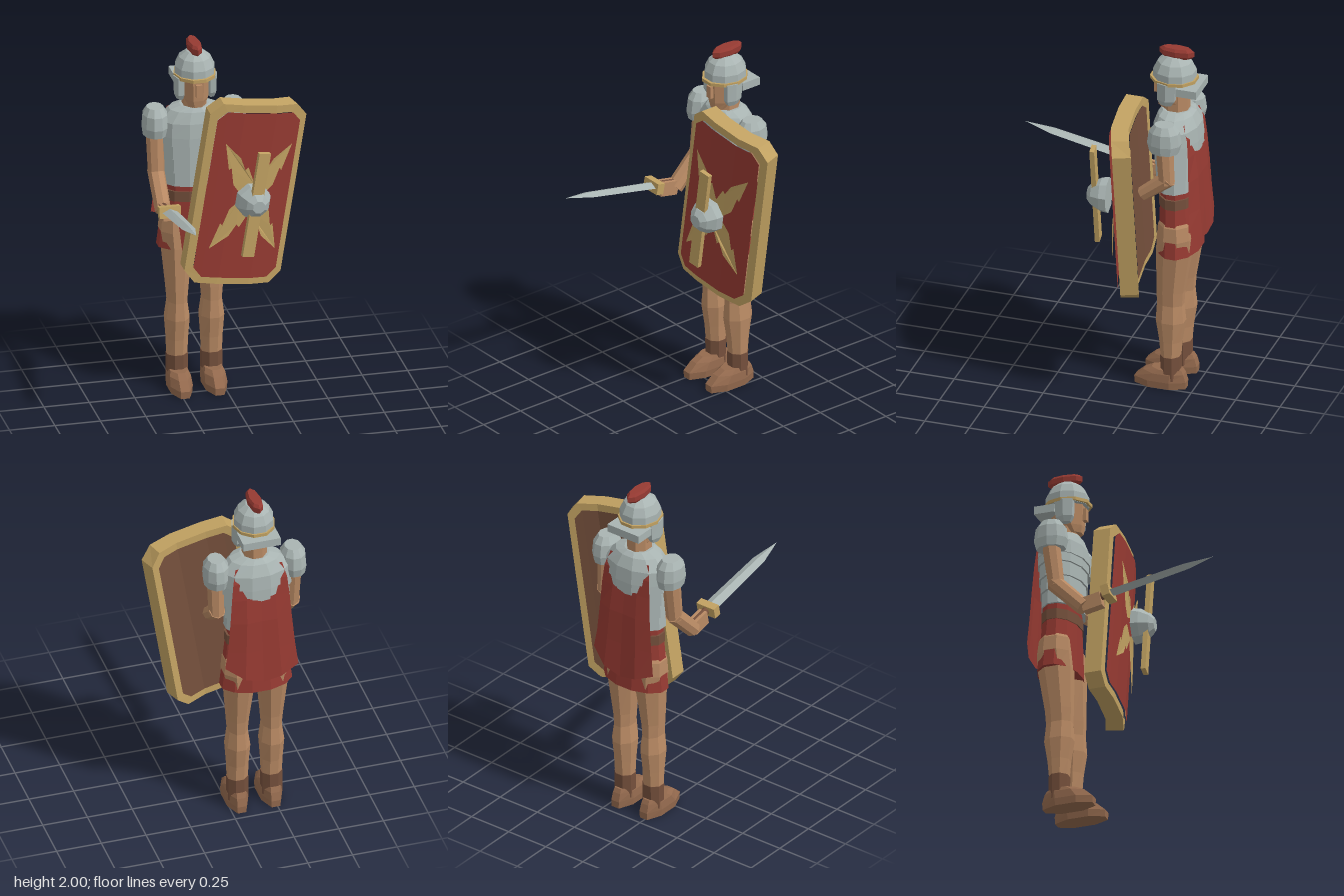
import * as THREE from 'three';

const mat = (name, hex) => Object.assign(new THREE.MeshStandardMaterial({ color: hex }), { name });
const CX = -0.145; // body centre line

export function createModel() {
  const skin = mat('skin', 0xb98a64), steel = mat('steel', 0xa9b4b2), gold = mat('brass', 0xc2a262);
  const red = mat('red cloth', 0x963a32), dark = mat('dark leather', 0x75503c), leather = mat('leather', 0x946a4e);
  red.side = THREE.DoubleSide;
  const model = new THREE.Group();

  // faceted mesh helper
  function add(name, geo, material, parent = model) {
    const g = geo.index ? geo.toNonIndexed() : geo;
    g.computeVertexNormals();
    const m = new THREE.Mesh(g, material);
    m.name = name;
    parent.add(m);
    return m;
  }
  function fromTris(tris) {
    const g = new THREE.BufferGeometry();
    g.setAttribute('position', new THREE.Float32BufferAttribute(tris.flat(), 3));
    return g;
  }
  const quad = (t, a, b, c, d) => t.push(a, b, c, a, c, d);

  // closed body through elliptic rows [y, rx, rz, cx, cz]
  function loft(rows, n = 8, turn = 0.5) {
    const t = [];
    const pt = ([y, rx, rz, cx = 0, cz = 0], i) => {
      const a = ((i + turn) / n) * Math.PI * 2;
      return [cx + rx * Math.sin(a), y, cz + rz * Math.cos(a)];
    };
    const mid = ([y, , , cx = 0, cz = 0]) => [cx, y, cz];
    for (let i = 0; i < n; i++) {
      for (let k = 0; k + 1 < rows.length; k++)
        quad(t, pt(rows[k], i), pt(rows[k], i + 1), pt(rows[k + 1], i + 1), pt(rows[k + 1], i));
      const lo = rows[0], hi = rows[rows.length - 1];
      t.push(mid(lo), pt(lo, i + 1), pt(lo, i), mid(hi), pt(hi, i), pt(hi, i + 1));
    }
    return fromTris(t);
  }
  function limb(name, p, q, r0, r1, material) {
    const a = new THREE.Vector3(...p), b = new THREE.Vector3(...q);
    const m = add(name, new THREE.CylinderGeometry(r1, r0, a.distanceTo(b), 8), material);
    m.position.copy(a).lerp(b, 0.5);
    m.quaternion.setFromUnitVectors(new THREE.Vector3(0, 1, 0), b.sub(a).normalize());
    return m;
  }
  function box(name, w, h, d, x, y, z, material, parent) {
    const m = add(name, new THREE.BoxGeometry(w, h, d), material, parent);
    m.position.set(x, y, z);
    return m;
  }

  // legs, boots and shoulder guards, mirrored about the centre line
  for (const s of [-1, 1]) {
    const x = CX + s * 0.095;
    add('leg', loft([
      [0.16, 0.057, 0.053, x, -0.37], [0.28, 0.061, 0.064, x, -0.37], [0.4, 0.069, 0.084, x, -0.37],
      [0.5, 0.055, 0.076, x, -0.368], [0.58, 0.062, 0.08, x, -0.37], [0.82, 0.086, 0.101, x - s * 0.002, -0.389],
      [0.91, 0.097, 0.099, x, -0.393], [0.99, 0.09, 0.09, x, -0.391], [1.05, 0.055, 0.06, x, -0.39]]), skin);
    add('bootCuff', loft([[0.05, 0.06, 0.056, x, -0.37], [0.19, 0.061, 0.058, x, -0.37]]), dark);
    add('shoe', loft([[0, 0.062, 0.154, x, -0.315], [0.04, 0.066, 0.156, x, -0.315],
      [0.085, 0.062, 0.122, x, -0.333], [0.108, 0.052, 0.09, x, -0.35]]), leather);
    const sx = CX + s * 0.215;
    add('shoulderGuard', loft([[1.48, 0.066, 0.082, sx, -0.372], [1.53, 0.073, 0.095, sx, -0.372],
      [1.6, 0.068, 0.085, sx, -0.372], [1.64, 0.045, 0.055, sx, -0.372]], 10), steel);
  }

  // skirt, tunic and belt
  add('skirt', loft([[0.815, 0.202, 0.116, CX, -0.397], [0.95, 0.186, 0.108, CX, -0.392],
    [1.1, 0.168, 0.1, CX, -0.388]], 12), red);
  add('belt', loft([[1.097, 0.173, 0.106, CX, -0.388], [1.155, 0.173, 0.106, CX, -0.388]], 12), dark);
  add('tunic', loft([[1.14, 0.162, 0.1, CX, -0.388], [1.24, 0.16, 0.1, CX, -0.388]], 12), red);

  // banded armour
  for (let i = 0; i < 4; i++) {
    const y = 1.19 + i * 0.08, r = 0.174 + i * 0.009, d = 0.113 + i * 0.006;
    add('armourBand', loft([[y, r, d, CX, -0.382], [y + 0.085, r - 0.005, d - 0.004, CX, -0.382]], 12), steel);
  }
  add('chestArmour', loft([[1.48, 0.202, 0.135, CX, -0.38], [1.56, 0.195, 0.126, CX, -0.38],
    [1.62, 0.14, 0.1, CX, -0.375], [1.64, 0.08, 0.08, CX, -0.37]], 12), steel);

  // head
  add('neck', loft([[1.58, 0.068, 0.074, CX, -0.37], [1.74, 0.067, 0.074, CX, -0.37]]), skin);
  add('head', loft([[1.65, 0.048, 0.054, CX, -0.325], [1.69, 0.07, 0.088, CX, -0.35],
    [1.84, 0.083, 0.103, CX, -0.358]]), skin);
  box('nose', 0.034, 0.07, 0.03, CX, 1.755, -0.262, skin);

  // helmet
  add('helmetDome', loft([[1.81, 0.11, 0.12, CX, -0.36], [1.87, 0.109, 0.118, CX, -0.36],
    [1.92, 0.086, 0.094, CX, -0.36], [1.952, 0.045, 0.05, CX, -0.36]], 10), steel);
  add('helmetBand', loft([[1.812, 0.116, 0.132, CX, -0.357], [1.83, 0.116, 0.132, CX, -0.357]], 10), gold);
  box('neckGuard', 0.21, 0.045, 0.115, CX, 1.78, -0.455, steel);
  for (const s of [-1, 1])
    add('cheekGuard', loft([[1.69, 0.02, 0.035, CX + s * 0.085, -0.34], [1.72, 0.031, 0.055, CX + s * 0.087, -0.342],
      [1.82, 0.031, 0.06, CX + s * 0.088, -0.345]], 6), steel);
  add('crest', loft([[1.943, 0.031, 0.08, CX, -0.372], [1.958, 0.038, 0.099, CX, -0.372],
    [1.985, 0.038, 0.099, CX, -0.372], [2, 0.028, 0.08, CX, -0.372]], 8, 0), red);

  // arms
  const ax = -0.36;
  limb('upperArm', [ax, 1.25, -0.34], [ax, 1.53, -0.375], 0.045, 0.052, skin);
  limb('forearm', [ax, 1.28, -0.355], [ax, 1.108, -0.185], 0.047, 0.045, skin);
  box('hand', 0.052, 0.08, 0.11, ax, 1.125, -0.135, skin).rotation.x = -0.2;
  limb('upperArm', [0.07, 1.29, -0.385], [0.07, 1.53, -0.372], 0.045, 0.052, skin);
  limb('forearm', [0.07, 1.32, -0.4], [0.066, 1.2, -0.25], 0.046, 0.04, skin);

  // sword
  const sword = new THREE.Group();
  sword.name = 'sword';
  sword.position.set(ax, 1.165, -0.045);
  sword.rotation.x = -0.2;
  model.add(sword);
  add('blade', loft([[0, 0.043, 0.02], [0.45, 0.036, 0.015], [0.608, 0.001, 0.001]], 4, 0).rotateX(Math.PI / 2), steel, sword);
  box('guard', 0.118, 0.062, 0.045, 0, 0, 0, gold, sword);
  add('grip', new THREE.CylinderGeometry(0.022, 0.022, 0.13, 8).rotateX(Math.PI / 2), dark, sword).position.z = -0.08;

  // cape: rows of [height, half width, middle depth, edge fold], back armour showing through near the top
  const rows = [[1.6, 0.13, -0.455, 0.004], [1.52, 0.15, -0.486, 0.008], [1.42, 0.16, -0.5, 0.014],
    [1.28, 0.17, -0.52, 0.028], [1.1, 0.186, -0.533, 0.035], [0.92, 0.203, -0.548, 0.045]];
  const hem = [0.04, 0, -0.02, 0.015, 0.08], fold = [0.75, 0.1, 0.15, 0, 1];
  const capePt = (r, c) => [CX + rows[r][1] * (c - 2) / 2, rows[r][0] + (r === 5 ? hem[c] : 0), rows[r][2] + fold[c] * rows[r][3]];
  const cape = [];
  for (let r = 0; r < 5; r++)
    for (let c = 0; c < 4; c++) quad(cape, capePt(r, c), capePt(r, c + 1), capePt(r + 1, c + 1), capePt(r + 1, c));
  add('cape', fromTris(cape), red);

  // shield: chamfered rectangle bent along its width
  const shield = new THREE.Group();
  shield.name = 'shield';
  shield.position.set(0.087, 1.18, 0);
  shield.rotation.z = -0.157;
  model.add(shield);
  const us = [-0.276, -0.2, -0.09, 0.09, 0.2, 0.276], zs = [-0.127, -0.12, -0.118, -0.135, -0.17, -0.197];
  function bend(u) {
    let i = 0;
    while (i < 4 && u > us[i + 1]) i++;
    return zs[i] + (zs[i + 1] - zs[i]) * (u - us[i]) / (us[i + 1] - us[i]);
  }
  const at = (u, v, depth) => [u - Math.max(0, u) * depth * 1.2, v, bend(u) - depth];
  const columns = (W, H, c) => [[-W, H - c], [c - W, H], [-0.09, H], [0.09, H], [W - c, H], [W, H - c]];
  const loop = cols => [...cols.map(([u, h]) => [u, -h]), ...cols.map(([u, h]) => [u, h]).reverse()];
  function panel(W, H, c, depth, flip) {
    const t = [], k = columns(W, H, c);
    for (let i = 0; i < 5; i++) {
      const [u, h] = k[i], [w, g] = k[i + 1];
      const q = [at(u, -h, depth), at(w, -g, depth), at(w, g, depth), at(u, h, depth)];
      quad(t, ...(flip ? q.reverse() : q));
    }
    return fromTris(t);
  }
  const rim = [], outer = loop(columns(0.276, 0.52, 0.064)), inner = loop(columns(0.232, 0.476, 0.05));
  for (let i = 0; i < 12; i++) {
    const j = (i + 1) % 12;
    const p = (l, k, d) => at(l[k][0], l[k][1], d);
    quad(rim, p(outer, i, 0), p(outer, j, 0), p(inner, j, 0), p(inner, i, 0));
    quad(rim, p(outer, i, 0.095), p(outer, j, 0.095), p(outer, j, 0), p(outer, i, 0));
    quad(rim, p(inner, i, 0.095), p(inner, j, 0.095), p(outer, j, 0.095), p(outer, i, 0.095));
  }
  add('shieldRim', fromTris(rim), gold, shield);
  add('shieldFace', panel(0.235, 0.479, 0.05, -0.012), red, shield);
  add('shieldBack', panel(0.236, 0.48, 0.05, 0.098, true), dark, shield);

  // barbed rays on the face, as [along, across]
  const ray = [[0.05, 0.045], [0.17, 0.056], [0.165, 0.034], [0.24, 0.04], [0.36, 0], [0.21, -0.046], [0.215, -0.028], [0.12, -0.058], [0.05, -0.045]];
  for (const sx of [-1, 1]) for (const sy of [-1, 1]) {
    const shape = new THREE.Shape(ray.map(([a, b]) => new THREE.Vector2(
      0.015 + sx * (a * 0.53 - b * 0.85), sy * (a * 0.85 + b * 0.53))));
    const g = new THREE.ShapeGeometry(shape), pos = g.attributes.position;
    for (let i = 0; i < pos.count; i++) pos.setZ(i, bend(pos.getX(i)) + 0.034);
    add('ray', g, gold, shield);
  }

  // raised bar and boss in front of the face
  box('shieldBar', 0.066, 0.6, 0.026, 0.018, 0, 0.003, gold, shield).rotation.y = 0.12;
  const boss = add('shieldBoss', loft([[0, 0.1, 0.1], [0.04, 0.094, 0.094], [0.09, 0.066, 0.066],
    [0.115, 0.036, 0.036]]).rotateX(Math.PI / 2), steel, shield);
  boss.position.set(0.014, 0, -0.07);
  boss.rotation.y = 0.1;
  return model;
}
